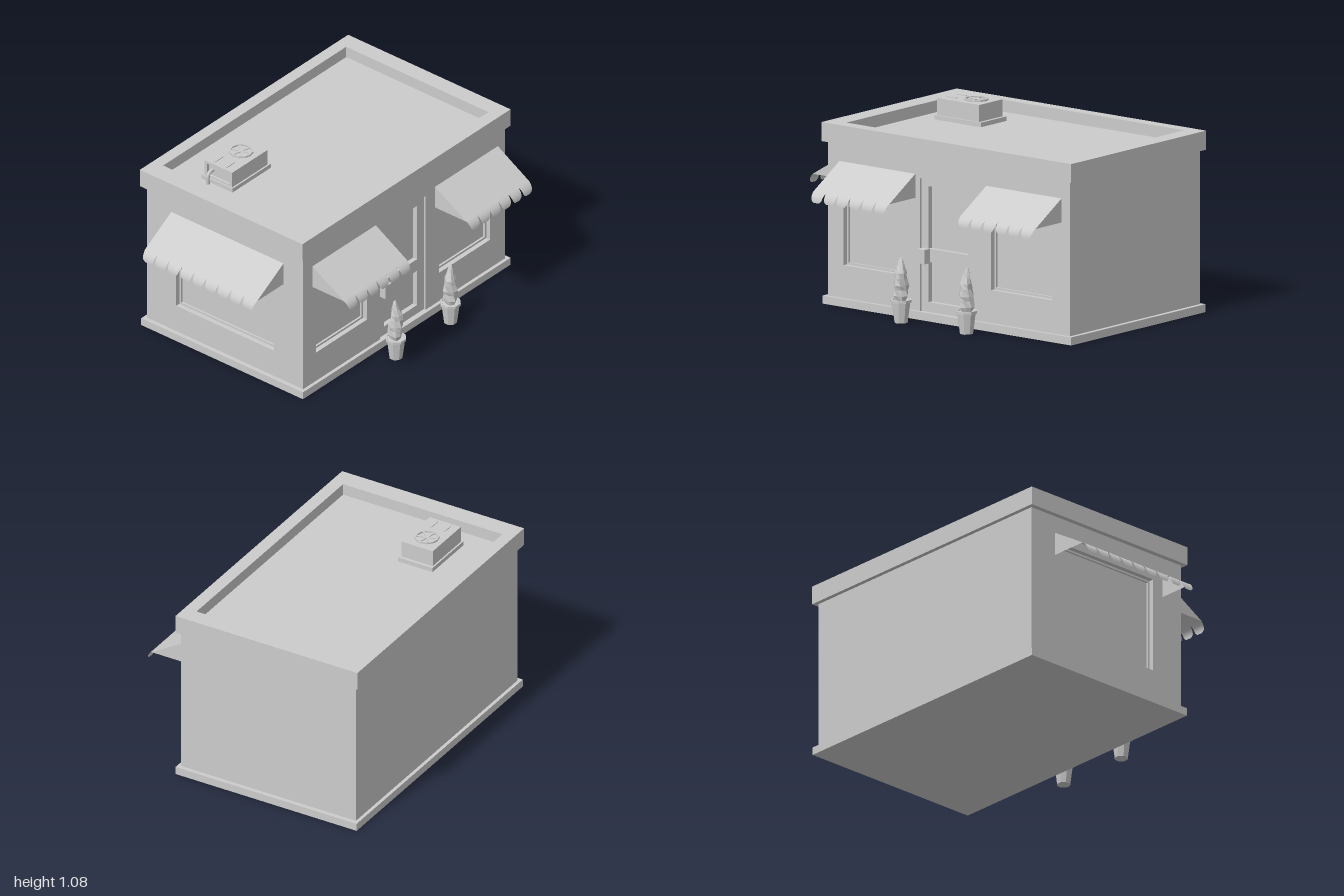
import * as THREE from 'three';

const flat = new THREE.MeshStandardMaterial({ color: 0xcccccc, flatShading: true });
const thin = new THREE.MeshStandardMaterial({ color: 0xcccccc, side: THREE.DoubleSide });

function add(parent, name, geometry, material = flat) {
  const mesh = new THREE.Mesh(geometry, material);
  mesh.name = name;
  parent.add(mesh);
  return mesh;
}

// Box given by its limits on each axis
function box(parent, name, [x0, x1], [y0, y1], [z0, z1]) {
  const mesh = add(parent, name, new THREE.BoxGeometry(x1 - x0, y1 - y0, z1 - z0));
  mesh.position.set((x0 + x1) / 2, (y0 + y1) / 2, (z0 + z1) / 2);
  return mesh;
}

// Rectangle [x0, x1, y0, y1] with rectangular openings, extruded along z
function panel(rect, openings, depth) {
  const trace = (path, [x0, x1, y0, y1]) =>
    path.moveTo(x0, y0).lineTo(x1, y0).lineTo(x1, y1).lineTo(x0, y1).closePath();
  const shape = trace(new THREE.Shape(), rect);
  for (const o of openings) shape.holes.push(trace(new THREE.Path(), o));
  return new THREE.ExtrudeGeometry(shape, { depth, bevelEnabled: false });
}

// Thin step set back inside a window opening
function windowFrame(parent, [x0, x1, y0, y1], z) {
  const w = 0.012;
  const frame = add(parent, 'windowFrame',
    panel([x0, x1, y0, y1], [[x0 + w, x1 - w, y0 + w, y1 - w]], 0.012));
  frame.position.z = z;
}

// Sloped awning against a wall at z = 0, with cheeks and a scalloped edge
function awning(width, count) {
  const g = new THREE.Group();
  g.name = 'awning';
  const top = 0.81, low = 0.675, out = 0.225;

  const cover = new THREE.PlaneGeometry(width, 1);
  const p = cover.attributes.position;
  for (let i = 0; i < p.count; i++) {
    const t = 0.5 - p.getY(i);
    p.setXYZ(i, p.getX(i), top + (low - top) * t, out * t);
  }
  cover.computeVertexNormals();
  add(g, 'awningCover', cover, thin);

  const cheek = new THREE.Shape()
    .moveTo(0, top).lineTo(0, low).lineTo(-out, low).closePath();
  for (const side of [-1, 1]) {
    const m = add(g, 'awningCheek', new THREE.ShapeGeometry(cheek), thin);
    m.rotation.y = Math.PI / 2;
    m.position.x = side * width / 2;
  }

  // Each scallop curls down and narrows to a rounded end
  const step = width / count;
  const flap = new THREE.PlaneGeometry(1, 1, 4, 8);
  const q = flap.attributes.position;
  for (let i = 0; i < q.count; i++) {
    const t = 0.5 - q.getY(i);
    const half = t < 0.7 ? 1 - 0.25 * t : 0.825 - 0.4 * ((t - 0.7) / 0.3) ** 2;
    q.setXYZ(i, q.getX(i) * step * half, low - 0.055 * (0.6 * t + 0.4 * t * t),
      out + 0.03 * Math.sin(t * Math.PI / 2));
  }
  flap.computeVertexNormals();
  for (let i = 0; i < count; i++) {
    add(g, 'awningScallop', flap, thin).position.x = -width / 2 + (i + 0.5) * step;
  }
  return g;
}

// Tapered pot with a twisted, uneven little tree
function planter(turn) {
  const g = new THREE.Group();
  g.name = 'planter';
  const turned = (name, pts, sides) => add(g, name,
    new THREE.LatheGeometry(pts.map(([r, y]) => new THREE.Vector2(r, y)), sides));
  const pot = turned('pot', [[0, 0], [0.038, 0], [0.053, 0.115], [0.06, 0.115],
    [0.06, 0.13], [0.05, 0.13], [0.048, 0.122], [0, 0.122]], 8);
  pot.rotation.y = Math.PI / 8;
  const tree = turned('tree', [[0.028, 0.12], [0.04, 0.15], [0.037, 0.185], [0.041, 0.21],
    [0.035, 0.25], [0.033, 0.28], [0.022, 0.315], [0.014, 0.345], [0.007, 0.365], [0, 0.366]], 8);
  const p = tree.geometry.attributes.position;
  for (let i = 0; i < p.count; i++) {
    const x = p.getX(i), y = p.getY(i), z = p.getZ(i);
    const a = Math.atan2(z, x);
    const r = Math.hypot(x, z) * (1 + 0.13 * Math.sin(3 * a + 40 * y));
    p.setXYZ(i, r * Math.cos(a + y * 3) + 0.004 * Math.sin(30 * y), y, r * Math.sin(a + y * 3));
  }
  tree.rotation.y = turn;
  return g;
}

// Rooftop cooling unit with fan, slots and a bent pipe
function coolingUnit() {
  const g = new THREE.Group();
  g.name = 'coolingUnit';
  const cx = -0.34, fz = 0.34;
  box(g, 'unitPlinth', [-0.45, -0.23], [0.945, 0.975], [0.215, 0.545]);
  box(g, 'unitBody', [-0.44, -0.24], [0.975, 1.07], [0.235, 0.52]);
  const rim = add(g, 'unitFrontRim',
    panel([-0.44, -0.24, 0.975, 1.07], [[-0.42, -0.26, 0.985, 1.055]], 0.015));
  rim.position.z = 0.52;

  const ring = add(g, 'fanRing', new THREE.LatheGeometry(
    [[0.058, 1.065], [0.068, 1.065], [0.068, 1.08], [0.058, 1.08], [0.058, 1.065]]
      .map(([r, y]) => new THREE.Vector2(r, y)), 12));
  ring.position.set(cx, 0, fz);
  for (let i = 0; i < 3; i++) {
    const blade = add(g, 'fanBlade', new THREE.BoxGeometry(0.12, 0.005, 0.012));
    blade.position.set(cx, 1.075, fz);
    blade.rotation.y = i * Math.PI / 3 + 0.3;
  }
  for (const x of [-0.385, -0.3]) {
    box(g, 'unitSlot', [x - 0.006, x + 0.006], [1.065, 1.074], [0.445, 0.515]);
  }
  const path = new THREE.CatmullRomCurve3([[0.5, 1.02], [0.545, 1.02], [0.562, 1.005], [0.565, 0.95]]
    .map(([z, y]) => new THREE.Vector3(-0.39, y, z)));
  add(g, 'unitPipe', new THREE.TubeGeometry(path, 12, 0.011, 8), thin);
  return g;
}

export function createModel() {
  const model = new THREE.Group();
  model.name = 'shop';

  // Building core; its outer skins carry the openings
  box(model, 'buildingCore', [-0.675, 0.405], [0.01, 0.95], [-0.975, 0.705]);
  box(model, 'basePlinth', [-0.695, 0.465], [0, 0.045], [-1, 0.77]);

  const frontWindow = [-0.465, 0.235, 0.21, 0.76];
  const front = new THREE.Group();
  front.name = 'frontSide';
  front.position.z = 0.705;
  add(front, 'frontWall', panel([-0.675, 0.445, 0.02, 0.93], [frontWindow], 0.04));
  windowFrame(front, frontWindow, 0);
  const frontAwning = awning(0.805, 9);
  frontAwning.position.set(-0.0975, 0, 0.04);
  front.add(frontAwning);
  model.add(front);

  // Entrance side, laid out facing +z and turned to face +x
  const side = new THREE.Group();
  side.name = 'entranceSide';
  side.rotation.y = Math.PI / 2;
  side.position.x = 0.405;
  const windows = [[-0.635, -0.2, 0.23, 0.76], [0.415, 0.85, 0.23, 0.76]];
  const doorway = [-0.09, 0.3, 0.04, 0.79];
  add(side, 'sideWall', panel([-0.705, 0.975, 0.02, 0.93], [...windows, doorway], 0.04));
  for (const w of windows) windowFrame(side, w, 0);
  add(side, 'door', panel(doorway,
    [[-0.04, 0.24, 0.4, 0.75], [-0.04, 0.24, 0.1, 0.325]], 0.028));
  box(side, 'doorHandle', [-0.085, -0.03], [0.32, 0.4], [0.02, 0.075]);
  for (const [u, width] of [[-0.395, 0.54], [0.6475, 0.535]]) {
    const a = awning(width, 6);
    a.position.set(u, 0, 0.04);
    side.add(a);
  }
  model.add(side);

  // Roof parapet around the sunken roof
  const parapet = add(model, 'parapet',
    panel([-0.7, 0.465, -0.775, 1], [[-0.63, 0.39, -0.66, 0.9]], 0.107));
  parapet.rotation.x = -Math.PI / 2;
  parapet.position.y = 0.91;
  model.add(coolingUnit());

  // Planters either side of the door
  for (const z of [0.115, -0.35]) {
    const pl = planter(z * 4);
    pl.position.set(0.58, 0, z);
    model.add(pl);
  }
  return model;
}
